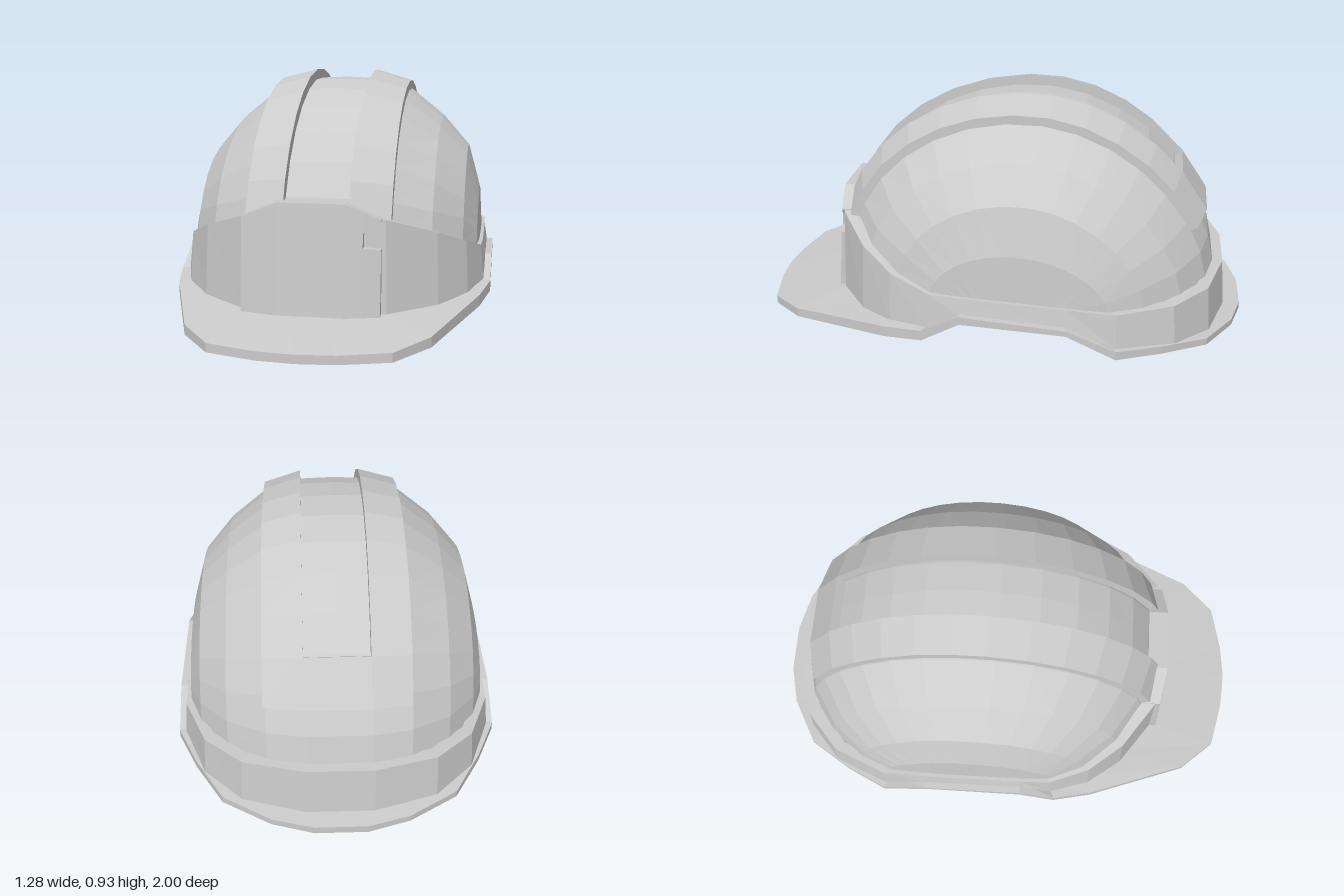
import * as THREE from 'three';

const material = new THREE.MeshStandardMaterial({ color: 0xcccccc, flatShading: true, side: THREE.DoubleSide });

// Skin a row of cross-sections; ring closes each section, path closes the row, otherwise ends are capped
function loft(name, sections, { ring = true, path = false } = {}) {
  const n = sections[0].length, m = sections.length, index = [];
  const id = (i, j) => (i % m) * n + (j % n);
  for (let i = 0; i < (path ? m : m - 1); i++) {
    for (let j = 0; j < (ring ? n : n - 1); j++) {
      const a = id(i, j), b = id(i, j + 1), c = id(i + 1, j + 1), d = id(i + 1, j);
      index.push(a, b, c, a, c, d);
    }
  }
  if (ring && !path) {
    for (let j = 1; j < n - 1; j++) {
      index.push(id(0, 0), id(0, j + 1), id(0, j));
      index.push(id(m - 1, 0), id(m - 1, j), id(m - 1, j + 1));
    }
  }
  const indexed = new THREE.BufferGeometry();
  indexed.setAttribute('position', new THREE.Float32BufferAttribute(sections.flat(2), 3));
  indexed.setIndex(index);
  const geometry = indexed.toNonIndexed();
  geometry.computeVertexNormals();
  const mesh = new THREE.Mesh(geometry, material);
  mesh.name = name;
  return mesh;
}

// Dome arcs: x position, height, reach to the front, reach to the back
const ARCS = [
  [0, 0.68, 0.77, 0.77], [0.12, 0.675, 0.77, 0.77], [0.27, 0.64, 0.725, 0.735], [0.42, 0.52, 0.62, 0.635],
  [0.53, 0.395, 0.47, 0.495], [0.58, 0.21, 0.33, 0.36], [0.59, 0, 0.2, 0.2],
];

function domePoint(x, t, offset = 0) {
  const ax = Math.min(Math.abs(x), 0.59);
  let k = 0;
  while (k < ARCS.length - 2 && ax > ARCS[k + 1][0]) k++;
  const [p, q] = [ARCS[k], ARCS[k + 1]];
  const f = (ax - p[0]) / (q[0] - p[0]);
  const back = t > Math.PI / 2;
  const at = i => THREE.MathUtils.lerp(p[i], q[i], f) + offset;
  const h = Math.max(0, at(1)), reach = at(back ? 3 : 2);
  // the back slopes a little more than the front
  const slope = back ? 0.04 * Math.abs(Math.sin(2 * t)) * (h / 0.68) : 0;
  return [x, 0.22 + h * Math.sin(t), -0.11 + reach * Math.cos(t) + slope];
}

const steps = (a, b, n) => Array.from({ length: n + 1 }, (_, i) => a + ((b - a) * i) / n);

function shell(name, offset, shrink) {
  const half = ARCS.map(a => a[0]);
  const xs = [...half.slice(1).reverse().map(x => -x), ...half];
  const sections = steps(0, Math.PI, 15).map(t =>
    xs.map(x => {
      const p = domePoint(x, t, offset);
      return [p[0] * shrink, p[1], p[2]];
    }));
  return loft(name, sections, { ring: false });
}

// Raised strip lying on the dome; edges are [x, height]
function raised(name, edges, t0, t1, n) {
  const first = edges[0][0], last = edges[edges.length - 1][0];
  return loft(name, steps(t0, t1, n).map(t => [
    domePoint(first, t, -0.015),
    ...edges.map(([x, h]) => domePoint(x, t, h)),
    domePoint(last, t, -0.015),
  ]));
}

// Run a half outline (x > 0, front to back) on around the other side
function mirrored(half, section) {
  const other = half.filter(p => p[0] > 0).reverse().map(p => section(p).map(([x, y, z]) => [-x, y, z]));
  return [...half.map(section), ...other];
}

// Front panel from columns of x, top y, bottom y, extra depth
function panel(name, columns) {
  return loft(name, columns.map(([x, top, bottom, depth]) => {
    const front = y => 0.685 - 0.085 * (y - 0.07) + depth;
    const back = y => 0.66 - 0.18 * (y - 0.06);
    return [[x, top, back(top)], [x, top, front(top)], [x, bottom, front(bottom)], [x, bottom, back(bottom)]];
  }));
}

export function createModel() {
  const group = new THREE.Group();

  group.add(shell('outerShell', 0, 1), shell('innerShell', -0.03, 0.96));

  // Twin ridges joined by a plate at the back
  const tJoin = Math.PI - 0.62, tEnd = Math.PI - 0.37;
  group.add(raised('leftRidge', [[0.13, 0.04], [0.28, 0.036]], 0.3, tJoin, 11));
  group.add(raised('rightRidge', [[-0.265, 0.036], [-0.115, 0.04]], 0.3, tJoin, 11));
  group.add(raised('rearPlate', [[-0.265, 0.036], [-0.115, 0.04], [0.13, 0.04], [0.28, 0.036]], tJoin, tEnd, 1));

  // Lower band: x, z, top y, bottom y
  const band = [
    [0.27, 0.655, 0.43, 0.08], [0.45, 0.525, 0.365, 0.09], [0.555, 0.385, 0.305, 0.1],
    [0.61, 0.22, 0.255, 0.115], [0.615, 0.09, 0.25, 0.18], [0.615, -0.32, 0.235, 0.155],
    [0.61, -0.51, 0.225, 0.085], [0.52, -0.73, 0.235, 0.07], [0.37, -0.865, 0.245, 0.06],
    [0.13, -0.93, 0.25, 0.055],
  ];
  const bandSection = ([x, z, top, bottom]) => {
    const at = (s, y) => [x * s, y, -0.11 + (z + 0.11) * s];
    return [at(0.92, top), at(0.98, top), at(1, bottom), at(0.95, bottom)];
  };
  group.add(loft('lowerBand', mirrored(band, bandSection), { path: true }));

  // Front panel with a small notch in its left edge
  group.add(panel('frontPanel', [
    [-0.27, 0.43, 0.06, 0], [-0.13, 0.49, 0.06, 0.027], [0.12, 0.49, 0.06, 0.027], [0.185, 0.462, 0.06, 0.015],
  ]));
  group.add(panel('frontPanelLowerCorner', [[0.185, 0.33, 0.06, 0.015], [0.25, 0.325, 0.06, 0]]));
  group.add(panel('frontPanelUpperCorner', [[0.185, 0.462, 0.385, 0.015], [0.25, 0.433, 0.425, 0]]));

  // Brim: outer x, z, top y, bottom y, then inner x, z, top y
  const brim = [
    [0, 1, 0.035, 0.002, 0, 0.67, 0.083], [0.14, 0.988, 0.035, 0.002, 0.1, 0.67, 0.083],
    [0.325, 0.945, 0.04, 0.006, 0.25, 0.63, 0.087], [0.445, 0.81, 0.058, 0.02, 0.4, 0.52, 0.093],
    [0.6, 0.4, 0.1, 0.056, 0.535, 0.355, 0.11], [0.638, 0.24, 0.116, 0.074, 0.58, 0.21, 0.118],
    [0.64, 0.09, 0.19, 0.158, 0.59, 0.09, 0.19], [0.64, -0.32, 0.165, 0.143, 0.59, -0.32, 0.165],
    [0.635, -0.51, 0.09, 0.055, 0.58, -0.49, 0.09], [0.555, -0.68, 0.082, 0.05, 0.5, -0.68, 0.082],
    [0.445, -0.855, 0.068, 0.04, 0.38, -0.81, 0.07], [0.26, -0.96, 0.056, 0.03, 0.22, -0.87, 0.062],
    [0.1, -1, 0.05, 0.02, 0.09, -0.895, 0.06],
  ];
  group.add(loft('brim', mirrored(brim, ([x, z, top, bottom, ix, iz, iTop]) => [
    [ix, iTop, iz], [x, top, z], [x, bottom, z], [ix, iTop - 0.03, iz],
  ]), { path: true }));

  // Harness mounts inside the four corners
  for (const side of [-1, 1]) {
    for (const [name, x, y, z, turn] of [['frontMount', 0.36, 0.16, 0.5, 0.63], ['rearMount', 0.36, 0.13, -0.78, 2.4]]) {
      const mount = new THREE.Mesh(new THREE.BoxGeometry(0.22, 0.2, 0.03), material);
      mount.name = name;
      mount.position.set(side * x, y, z);
      mount.rotation.y = side * turn;
      group.add(mount);
    }
  }
  return group;
}
